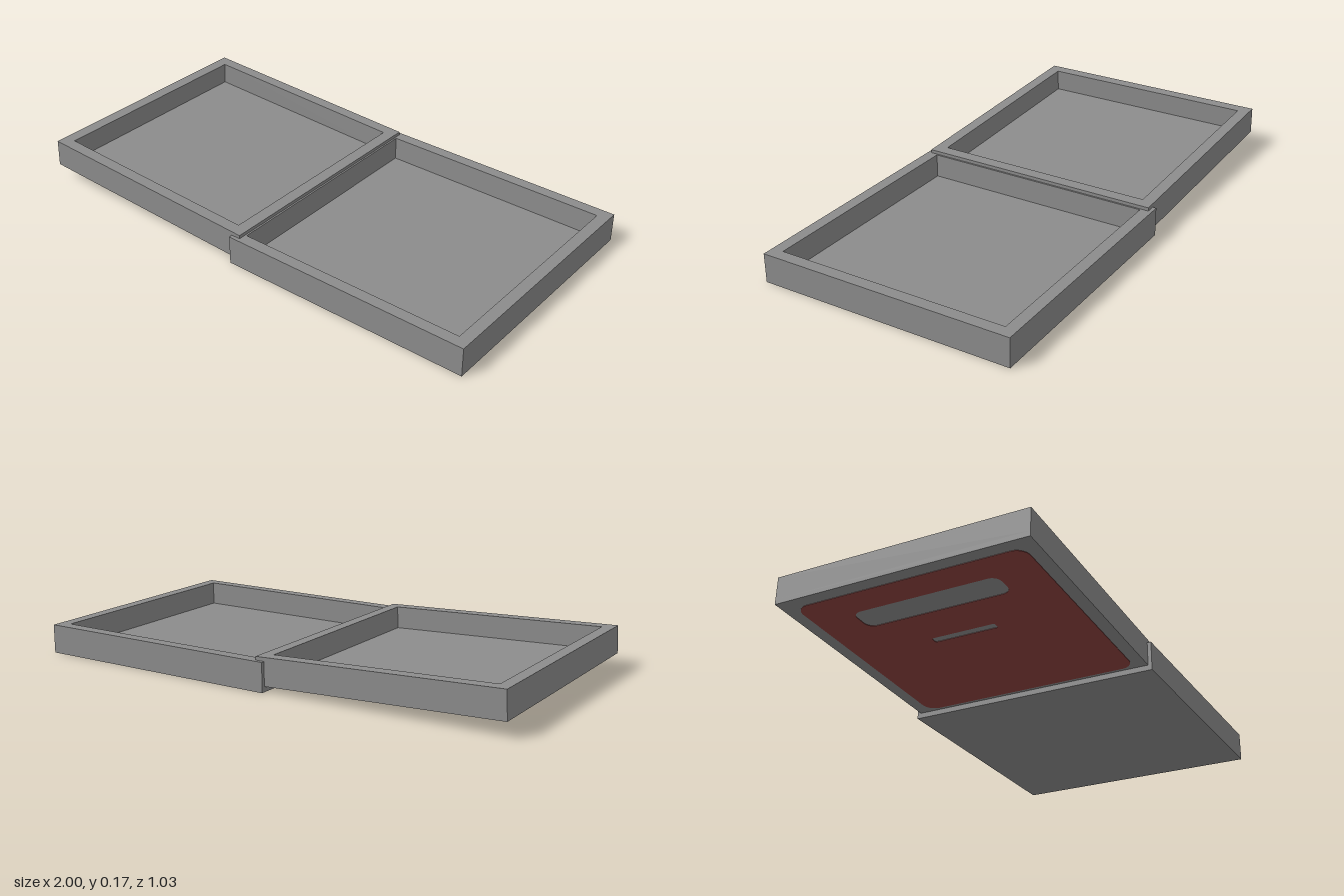
import * as THREE from 'three';

const grey = new THREE.MeshStandardMaterial({ color: 0x8c8c8c });
grey.name = 'grey plastic';
const red = new THREE.MeshStandardMaterial({ color: 0x8e4340 });
red.name = 'red label';

// Rounded rectangle path between two corners
function rounded(path, x0, y0, x1, y1, r) {
  path.moveTo(x0 + r, y0);
  path.lineTo(x1 - r, y0);
  path.absarc(x1 - r, y0 + r, r, -Math.PI / 2, 0);
  path.lineTo(x1, y1 - r);
  path.absarc(x1 - r, y1 - r, r, 0, Math.PI / 2);
  path.lineTo(x0 + r, y1);
  path.absarc(x0 + r, y1 - r, r, Math.PI / 2, Math.PI);
  path.lineTo(x0, y0 + r);
  path.absarc(x0 + r, y0 + r, r, Math.PI, Math.PI * 1.5);
  return path;
}

function rect(path, x0, y0, x1, y1) {
  path.moveTo(x0, y0);
  path.lineTo(x1, y0);
  path.lineTo(x1, y1);
  path.lineTo(x0, y1);
  path.closePath();
  return path;
}

// Horizontal slab standing on y, drawn in the x/z plane
function slab(name, shape, y, height, material) {
  const geo = new THREE.ExtrudeGeometry(shape, { depth: height, bevelEnabled: false, curveSegments: 8 });
  geo.rotateX(-Math.PI / 2);
  geo.translate(0, y, 0);
  const mesh = new THREE.Mesh(geo, material);
  mesh.name = name;
  return mesh;
}

// Open tray: a solid floor with a rim of walls on top
function tray(name, x0, x1, halfDepth, height, floor, inner) {
  const group = new THREE.Group();
  group.name = name;
  const walls = rect(new THREE.Shape(), x0, -halfDepth, x1, halfDepth);
  walls.holes.push(rect(new THREE.Path(), inner[0], -inner[2], inner[1], inner[2]));
  group.add(slab(name + 'Floor', rect(new THREE.Shape(), x0, -halfDepth, x1, halfDepth), 0, floor, grey));
  group.add(slab(name + 'Walls', walls, floor, height - floor, grey));
  return group;
}

export function createModel() {
  const model = new THREE.Group();
  model.name = 'openTrayBox';

  // Flat outer tray
  model.add(tray('lid', -0.035, 1, 0.515, 0.116, 0.02, [0.01, 0.952, 0.468]));

  // Tilted inner tray, hinged at its lower edge
  const base = tray('base', -1, 0, 0.5, 0.11, 0.02, [-0.952, -0.048, 0.452]);

  // Label under the tilted tray, with two slots
  const label = rounded(new THREE.Shape(), -0.95, -0.45, -0.05, 0.45, 0.05);
  label.holes.push(rounded(new THREE.Path(), -0.835, -0.29, -0.725, 0.29, 0.035));
  label.holes.push(rounded(new THREE.Path(), -0.56, -0.13, -0.53, 0.13, 0.008));
  base.add(slab('bottomLabel', label, -0.002, 0.003, red));

  base.position.set(-0.001, 0.02, 0);
  base.rotation.z = -0.041;
  model.add(base);

  return model;
}
